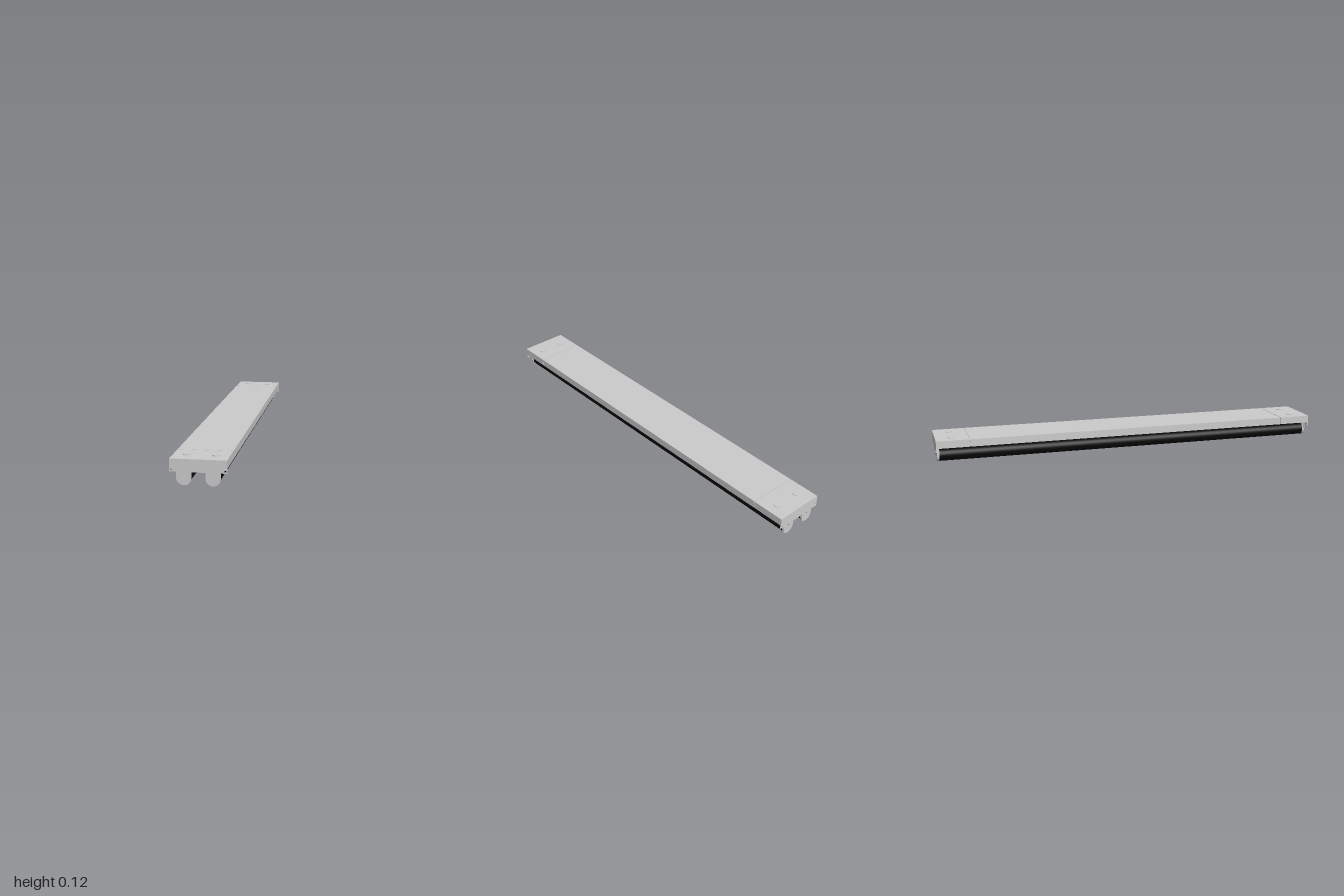
import * as THREE from 'three';

const grey = new THREE.MeshStandardMaterial({ color: 0xcccccc });
const black = new THREE.MeshStandardMaterial({ color: 0x080808 });

const HALF_W = 0.124, TOP = 0.117, RIM = 0.08, LAMP_X = 0.063, LAMP_Y = 0.034;

function add(parent, name, geometry, x = 0, y = 0, z = 0, material = grey) {
  const mesh = new THREE.Mesh(geometry, material);
  mesh.name = name;
  mesh.position.set(x, y, z);
  parent.add(mesh);
  return mesh;
}

const extrude = (shape, depth) =>
  new THREE.ExtrudeGeometry(shape, { depth, bevelEnabled: false, curveSegments: 20 });

// Inverted U channel, open below, running along z
function channel(halfWidth, top, bottom, wall, length) {
  const s = new THREE.Shape();
  s.moveTo(-halfWidth, bottom);
  s.lineTo(-halfWidth + wall, bottom);
  s.lineTo(-halfWidth + wall, top - wall);
  s.lineTo(halfWidth - wall, top - wall);
  s.lineTo(halfWidth - wall, bottom);
  s.lineTo(halfWidth, bottom);
  s.lineTo(halfWidth, top);
  s.lineTo(-halfWidth, top);
  s.closePath();
  return extrude(s, length).translate(0, 0, -length / 2);
}

// Lamp holder outline with a rounded lower end
function holderShape(radius) {
  const s = new THREE.Shape();
  s.moveTo(radius, 0.086);
  s.lineTo(-radius, 0.086);
  s.lineTo(-radius, LAMP_Y);
  s.absarc(0, LAMP_Y, radius, Math.PI, Math.PI * 2, false);
  s.closePath();
  return s;
}

function createEnd() {
  const end = new THREE.Group();

  // End section of the cover
  add(end, 'endCover', channel(HALF_W, TOP, RIM, 0.004, 0.163), 0, 0, 0.9185);

  // End plate with two mounting holes
  const plate = new THREE.Shape();
  plate.moveTo(-HALF_W, 0.06);
  plate.lineTo(HALF_W, 0.06);
  plate.lineTo(HALF_W, TOP);
  plate.lineTo(-HALF_W, TOP);
  plate.closePath();
  for (const side of [-1, 1]) {
    const hole = new THREE.Path();
    hole.absarc(side * 0.117, 0.068, 0.005, 0, Math.PI * 2, true);
    plate.holes.push(hole);
  }
  add(end, 'endPlate', extrude(plate, 0.005), 0, 0, 0.995);

  for (const side of [-1, 1]) {
    const x = side * LAMP_X;

    // Holder: slotted outer plate and smaller inner body
    const outer = holderShape(0.033);
    const slot = new THREE.Path();
    slot.moveTo(-0.003, 0.037);
    slot.lineTo(-0.003, 0.064);
    slot.lineTo(0.003, 0.064);
    slot.lineTo(0.003, 0.037);
    slot.closePath();
    outer.holes.push(slot);
    add(end, 'lampHolder', extrude(outer, 0.006), x, 0, 0.989);
    add(end, 'lampHolderBody', extrude(holderShape(0.029), 0.006), x, 0, 0.983);

    // Knockout disc on top and screw in the reflector
    add(end, 'knockoutDisc', new THREE.CylinderGeometry(0.017, 0.017, 0.003, 24), x, TOP + 0.0015, 0.92);
    add(end, 'reflectorScrew', new THREE.CylinderGeometry(0.004, 0.004, 0.003, 12), side * 0.02, 0.083, 0.88);
  }
  return end;
}

export function createModel() {
  const model = new THREE.Group();
  model.name = 'twinTubeLight';

  // Cover between the two end sections, over a recessed inner channel
  add(model, 'mainCover', channel(HALF_W, TOP, RIM, 0.004, 1.668));
  add(model, 'innerChannel', channel(0.121, TOP - 0.003, RIM + 0.002, 0.003, 1.97));

  // Dark reflector panel on the underside
  add(model, 'reflector', new THREE.BoxGeometry(0.236, 0.004, 1.95), 0, 0.086, 0, black);

  // Lamp tubes
  for (const side of [-1, 1]) {
    const tube = new THREE.CylinderGeometry(0.03, 0.03, 1.966, 32).rotateX(Math.PI / 2);
    add(model, 'lampTube', tube, side * LAMP_X, LAMP_Y, 0, black);
  }

  // Matching ends, front and back
  const front = createEnd();
  front.name = 'frontEnd';
  const back = createEnd();
  back.name = 'backEnd';
  back.rotation.y = Math.PI;
  model.add(front, back);
  return model;
}
